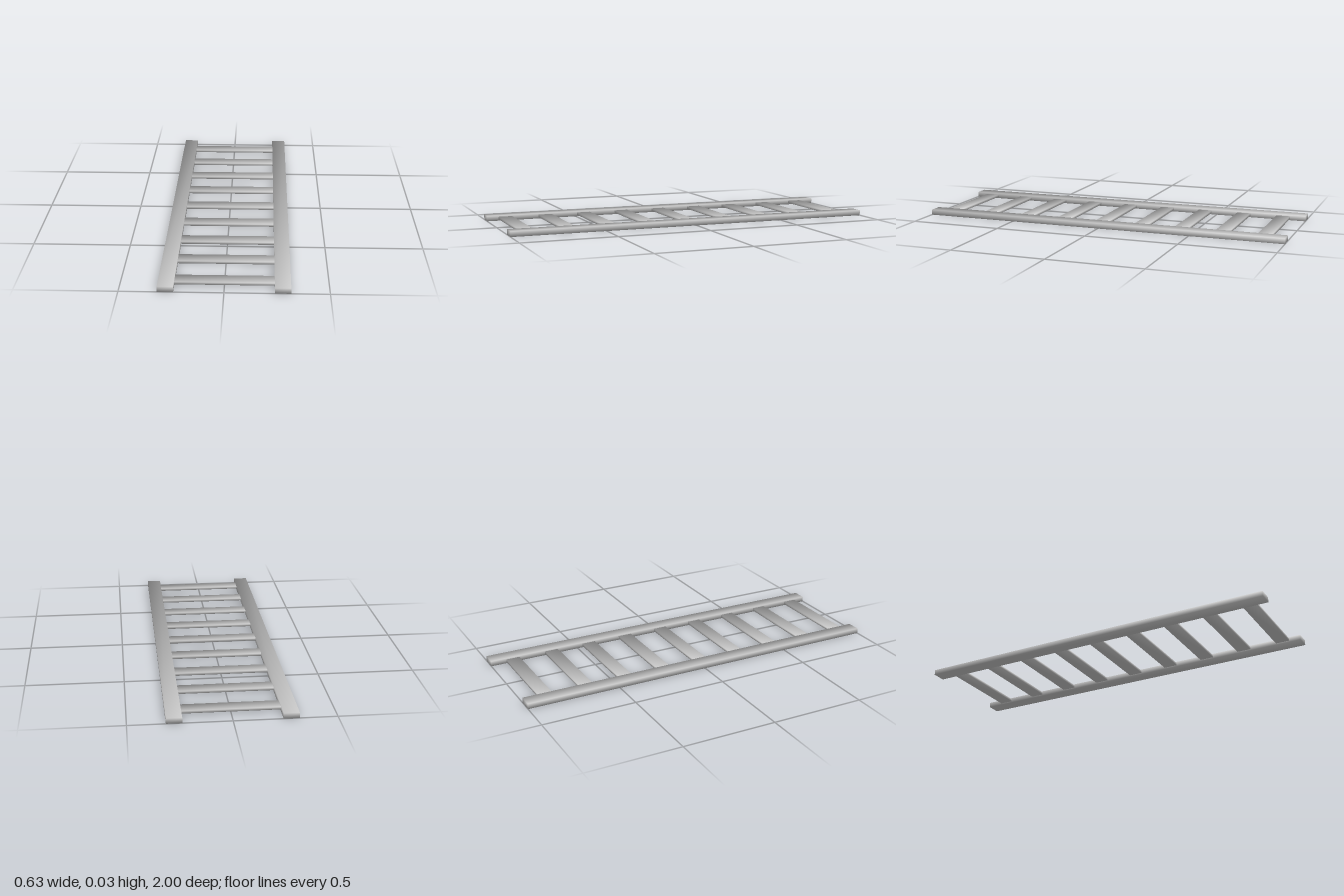
import * as THREE from 'three';

const material = new THREE.MeshStandardMaterial({ color: 0xcccccc });

// Box whose normals are shared at the corners, for soft shading
function softBox(name, w, h, d, x, y, z) {
  const geometry = new THREE.BoxGeometry(w, h, d);
  const { position, normal } = geometry.attributes;
  const n = new THREE.Vector3();
  for (let i = 0; i < position.count; i++) {
    n.set(Math.sign(position.getX(i)), Math.sign(position.getY(i)), Math.sign(position.getZ(i))).normalize();
    normal.setXYZ(i, n.x, n.y, n.z);
  }
  const mesh = new THREE.Mesh(geometry, material);
  mesh.name = name;
  mesh.position.set(x, y, z);
  return mesh;
}

export function createModel() {
  const ladder = new THREE.Group();
  ladder.name = 'ladder';

  // Two long side rails, lying flat
  const railHeight = 0.0285, railWidth = 0.077, railX = 0.278;
  for (const [name, side] of [['leftRail', 1], ['rightRail', -1]]) {
    ladder.add(softBox(name, railWidth, railHeight, 2, side * railX, railHeight / 2, 0));
  }

  // Nine thinner rungs between the rails
  const rungLength = 2 * railX - railWidth;
  for (let i = 0; i < 9; i++) {
    ladder.add(softBox(`rung${i + 1}`, rungLength, 0.0135, 0.075, 0, 0.0148, -0.878 + i * 0.2222));
  }
  return ladder;
}
